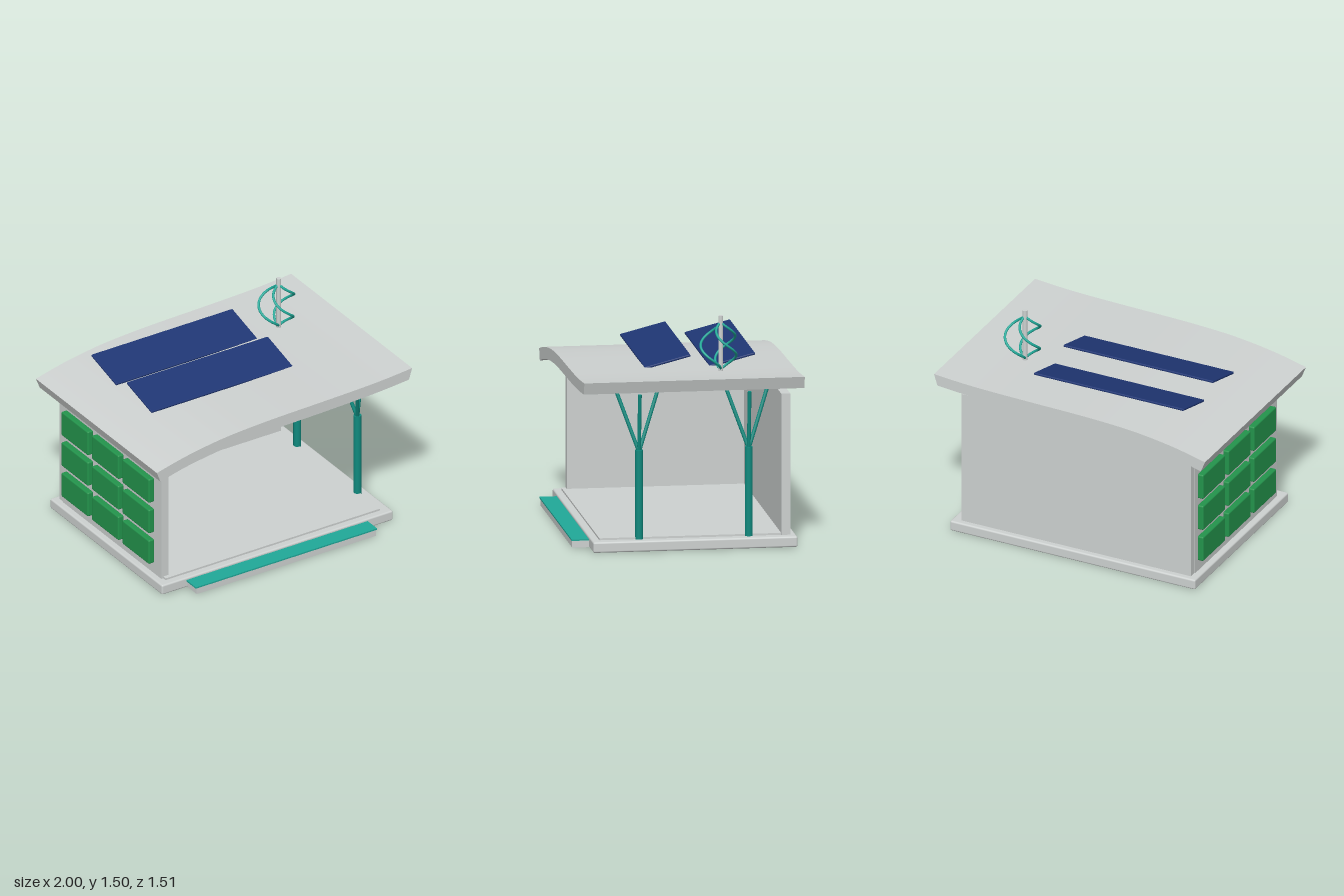
import * as THREE from 'three';
import { toCreasedNormals } from 'three/addons/utils/BufferGeometryUtils.js';
import { RoundedBoxGeometry } from 'three/addons/geometries/RoundedBoxGeometry.js';

const material = (name, color) => {
  const m = new THREE.MeshStandardMaterial({ color });
  m.name = name;
  return m;
};

export function createModel() {
  const model = new THREE.Group();
  model.name = 'pavilion';
  const shell = material('pale grey', 0xcdd1d0);
  const steel = material('deep teal', 0x0f8a7e);
  const accent = material('bright teal', 0x20a898);
  const navy = material('solar navy', 0x1f3674);
  const leaf = material('plant green', 0x23944c);

  const add = (name, geometry, mat, parent = model) => {
    const mesh = new THREE.Mesh(geometry, mat);
    mesh.name = name;
    parent.add(mesh);
    return mesh;
  };
  // Box given by its limits on each axis, with optional rounded edges
  const block = (name, [x0, x1], [y0, y1], [z0, z1], mat, radius = 0, parent = model) => {
    const size = [x1 - x0, y1 - y0, z1 - z0];
    const geometry = radius ? new RoundedBoxGeometry(...size, 2, radius) : new THREE.BoxGeometry(...size);
    const mesh = add(name, geometry, mat, parent);
    mesh.position.set((x0 + x1) / 2, (y0 + y1) / 2, (z0 + z1) / 2);
    return mesh;
  };
  // Cylinder between two points
  const rod = (name, from, to, radius, mat, parent) => {
    const dir = to.clone().sub(from);
    const mesh = add(name, new THREE.CylinderGeometry(radius, radius, dir.length(), 20), mat, parent);
    mesh.position.copy(from).add(to).multiplyScalar(0.5);
    mesh.quaternion.setFromUnitVectors(new THREE.Vector3(0, 1, 0), dir.normalize());
    return mesh;
  };

  // Base, floor and step
  block('base', [-0.91, 0.9], [0, 0.072], [-0.72, 0.64], shell, 0.012);
  block('floor', [-0.85, 0.83], [0.06, 0.085], [-0.66, 0.59], shell);
  block('step', [-0.71, 0.695], [0, 0.046], [0.62, 0.75], shell);
  block('stepTread', [-0.72, 0.7], [0.046, 0.056], [0.635, 0.755], accent);

  // Walls
  block('backWall', [-0.86, 0.835], [0.07, 1.02], [-0.68, -0.62], shell);
  block('sideWall', [-0.865, -0.807], [0.07, 0.97], [-0.63, 0.56], shell);

  // Planter grid on the outside of the side wall
  const planters = new THREE.Group();
  planters.name = 'greenWall';
  model.add(planters);
  for (let row = 0; row < 3; row++) {
    for (let col = -1; col <= 1; col++) {
      const y = 0.24 + row * 0.2325;
      const z = -0.06 + col * 0.37;
      block('planter', [-0.906, -0.86], [y - 0.09, y + 0.09], [z - 0.162, z + 0.162], leaf, 0.01, planters);
    }
  }

  // Curved roof slab
  const v2 = (x, y) => new THREE.Vector2(x, y);
  const top = [v2(-1, 0.996), v2(-0.8, 1.045), v2(-0.6, 1.08), v2(-0.4, 1.103), v2(-0.1, 1.119),
    v2(0.3, 1.128), v2(0.6, 1.136), v2(0.8, 1.146), v2(1, 1.163)];
  const under = [v2(0.975, 1.083), v2(0.8, 1.068), v2(0.6, 1.057), v2(0.3, 1.047), v2(-0.1, 1.038),
    v2(-0.4, 1.022), v2(-0.6, 0.999), v2(-0.8, 0.965), v2(-0.97, 0.92)];
  const roofShape = new THREE.Shape([
    ...new THREE.SplineCurve(top).getPoints(32),
    ...new THREE.SplineCurve(under).getPoints(32),
  ].reverse());
  const roofGeometry = new THREE.ExtrudeGeometry(roofShape, { depth: 1.467, bevelEnabled: false });
  add('roof', toCreasedNormals(roofGeometry, 0.5), shell).position.z = -0.752;

  // Tilted solar panels
  for (const z of [-0.3625, 0.0675]) {
    const panel = add('solarPanel', new RoundedBoxGeometry(1.105, 0.016, 0.313, 2, 0.006), navy);
    panel.position.set(-0.168, 1.164, z);
    panel.rotation.x = 0.25;
  }

  // Branching columns
  for (const z of [0.325, -0.405]) {
    const column = new THREE.Group();
    column.name = 'treeColumn';
    column.position.set(0.823, 0, z);
    model.add(column);
    rod('trunk', new THREE.Vector3(0, 0.07, 0), new THREE.Vector3(0, 0.67, 0), 0.026, steel, column);
    for (const [dx, dz] of [[-0.09, 0.137], [-0.09, -0.137], [0.04, 0]]) {
      rod('branch', new THREE.Vector3(0, 0.655, 0), new THREE.Vector3(dx, 1.047, dz), 0.0125, steel, column);
    }
  }

  // Wind turbine: blades that spiral out from the mast and back
  const turbine = new THREE.Group();
  turbine.name = 'windTurbine';
  turbine.position.set(0.581, 0, -0.255);
  model.add(turbine);
  rod('mast', new THREE.Vector3(0, 1.12, 0), new THREE.Vector3(0, 1.505, 0), 0.016, shell, turbine);
  for (let i = 0; i < 3; i++) {
    const start = THREE.MathUtils.degToRad(95 + i * 120) - Math.PI / 2;
    const points = [];
    for (let k = 0; k <= 24; k++) {
      const t = k / 24;
      const r = 0.132 * Math.sin(Math.PI * t);
      const a = start + Math.PI * t;
      points.push(new THREE.Vector3(r * Math.cos(a), 1.145 + 0.315 * t, r * Math.sin(a)));
    }
    add('blade', new THREE.TubeGeometry(new THREE.CatmullRomCurve3(points), 64, 0.0085, 10), accent, turbine);
  }

  return model;
}
